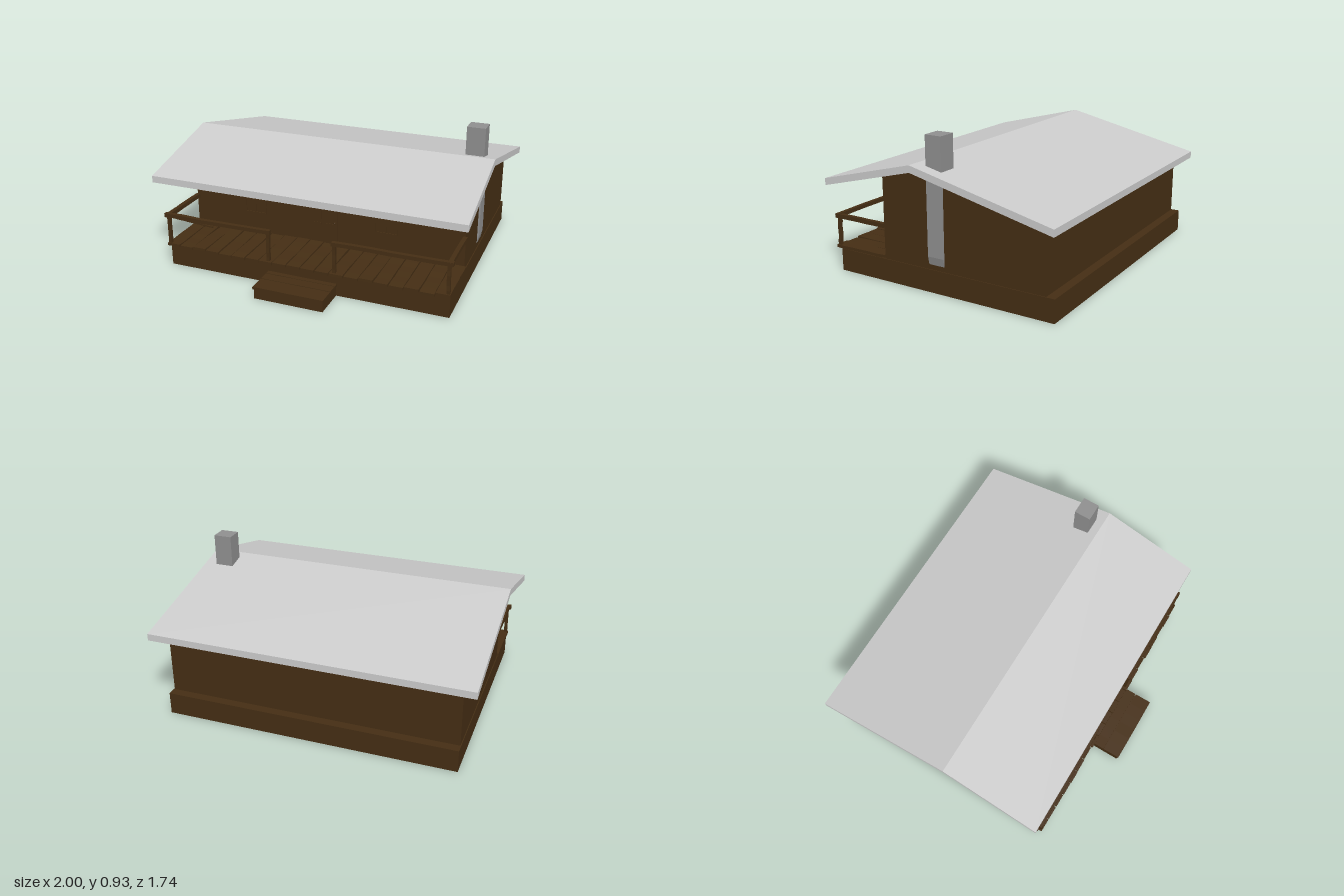
import * as THREE from 'three';

const wood = new THREE.MeshStandardMaterial({ color: 0x452e14, flatShading: true });
const stone = new THREE.MeshStandardMaterial({ color: 0x909090, flatShading: true });
const roofing = new THREE.MeshStandardMaterial({ color: 0xcccccc, flatShading: true });

// Small seeded generator, returns -1..1
let seed = 7;
const rnd = () => {
  seed = (seed * 16807) % 2147483647;
  return (seed / 2147483647) * 2 - 1;
};

function add(parent, name, geometry, material = wood) {
  const mesh = new THREE.Mesh(geometry, material);
  mesh.name = name;
  parent.add(mesh);
  return mesh;
}

// Box given by its limits on each axis
function box(parent, name, [x0, x1], [y0, y1], [z0, z1], material = wood) {
  const mesh = add(parent, name, new THREE.BoxGeometry(x1 - x0, y1 - y0, z1 - z0), material);
  mesh.position.set((x0 + x1) / 2, (y0 + y1) / 2, (z0 + z1) / 2);
  return mesh;
}

// Side profile of [z, y] points extruded along x, centred
function extrudeX(points, width) {
  const shape = new THREE.Shape(points.map(([z, y]) => new THREE.Vector2(-z, y)));
  return new THREE.ExtrudeGeometry(shape, { depth: width, bevelEnabled: false })
    .translate(0, 0, -width / 2).rotateY(Math.PI / 2);
}

// Worn timber along x: a box whose cross-sections wander a little
function timber(length, height, depth, wear) {
  const g = new THREE.BoxGeometry(length, height, depth, 6, 1, 1);
  const p = g.attributes.position;
  const shifts = Array.from({ length: 7 }, () => [rnd() * wear, rnd() * wear]);
  for (let i = 0; i < p.count; i++) {
    const [dy, dz] = shifts[Math.round((p.getX(i) / length + 0.5) * 6)];
    p.setY(i, p.getY(i) + dy);
    p.setZ(i, p.getZ(i) + dz);
  }
  g.computeVertexNormals();
  return g;
}

// Window centred on its origin, facing +z
function makeWindow(name) {
  const w = new THREE.Group();
  w.name = name;
  const W = 0.075, H = 0.092, bar = 0.008;
  box(w, 'pane', [-W, W], [-H, H], [-0.004, 0.001]);
  for (const s of [-1, 1]) {
    box(w, 'frameSide', [s * (W - bar / 2) - bar / 2, s * (W - bar / 2) + bar / 2], [-H, H], [0, 0.006]);
    box(w, 'frameEdge', [-W, W], [s * (H - bar / 2) - bar / 2, s * (H - bar / 2) + bar / 2], [0, 0.006]);
  }
  box(w, 'mullion', [-0.004, 0.004], [-H, H], [0, 0.005]);
  box(w, 'crossbar', [-W, W], [-0.004, 0.004], [0, 0.005]);
  return w;
}

export function createModel() {
  const cabin = new THREE.Group();
  cabin.name = 'cabin';

  // Foundation and gabled walls
  box(cabin, 'foundation', [-0.915, 0.915], [0, 0.14], [-0.835, 0.65]);
  add(cabin, 'walls', extrudeX(
    [[0.31, 0.13], [0.31, 0.655], [0.04, 0.724], [-0.78, 0.534], [-0.78, 0.13]], 1.82));

  // Bent roof slab
  add(cabin, 'roof', extrudeX([
    [0.675, 0.56], [0.675, 0.603], [0.04, 0.765], [-0.87, 0.555], [-0.87, 0.512], [0.04, 0.722],
  ], 2), roofing);

  // Chimney with a slanted foot against the side wall
  const stack = new THREE.Shape([
    [0.805, 0.17], [0.91, 0.17], [0.921, 0.22], [0.921, 0.93], [0.805, 0.93],
  ].map(([x, y]) => new THREE.Vector2(x, y)));
  add(cabin, 'chimney', new THREE.ExtrudeGeometry(stack, { depth: 0.107, bevelEnabled: false })
    .translate(0, 0, -0.122), stone);

  // Door: leaf, raised panels, knob
  const door = new THREE.Group();
  door.name = 'door';
  cabin.add(door);
  box(door, 'leaf', [-0.095, 0.092], [0.155, 0.475], [0.3, 0.314]);
  for (const x of [-0.045, 0.042])
    for (const [y0, y1] of [[0.19, 0.3], [0.325, 0.445]])
      box(door, 'panel', [x - 0.03, x + 0.03], [y0, y1], [0.31, 0.317]);
  add(door, 'knob', new THREE.SphereGeometry(0.007, 8, 6)).position.set(0.078, 0.31, 0.32);

  // Windows: two at the front, one in the side wall
  for (const x of [-0.475, 0.415]) {
    const w = makeWindow('frontWindow');
    w.position.set(x, 0.383, 0.31);
    cabin.add(w);
  }
  const sideWindow = makeWindow('sideWindow');
  sideWindow.rotation.y = -Math.PI / 2;
  sideWindow.position.set(-0.91, 0.375, -0.235);
  cabin.add(sideWindow);

  // Porch floor of worn boards
  const deck = new THREE.Group();
  deck.name = 'deck';
  cabin.add(deck);
  const count = 20, pitch = 1.85 / count;
  for (let i = 0; i < count; i++) {
    const end = 0.685 + rnd() * 0.005;
    const board = add(deck, 'deckBoard', timber(end - 0.31, 0.018, pitch - 0.007, 0.0015));
    board.rotation.set(rnd() * 0.03, Math.PI / 2, 0);
    board.position.set(-0.925 + pitch * (i + 0.5), 0.152 + rnd() * 0.003, (end + 0.31) / 2);
  }

  // Railings, mirrored about the steps
  for (const s of [-1, 1]) {
    const railing = new THREE.Group();
    railing.name = s > 0 ? 'leftRailing' : 'rightRailing';
    cabin.add(railing);
    add(railing, 'frontRail', timber(0.73, 0.024, 0.026, 0.003)).position.set(s * 0.565, 0.35, 0.667);
    const side = add(railing, 'sideRail', timber(0.37, 0.026, 0.026, 0.002));
    side.rotation.y = Math.PI / 2;
    side.position.set(s * 0.907, 0.347, 0.495);
    for (const x of [0.905, 0.215]) {
      const post = add(railing, 'post', timber(0.19, 0.02, 0.02, 0.0015));
      post.rotation.z = Math.PI / 2;
      post.position.set(s * x, 0.247, 0.665);
    }
  }
  // Splinter hanging from the cracked rail
  const splinter = add(cabin, 'splinter', timber(0.3, 0.009, 0.012, 0.002));
  splinter.rotation.z = -0.08;
  splinter.position.set(-0.74, 0.33, 0.667);

  // Front step with plank treads
  const step = new THREE.Group();
  step.name = 'step';
  cabin.add(step);
  box(step, 'stepBlock', [-0.22, 0.22], [0, 0.064], [0.64, 0.86]);
  [[0.65, 0.682], [0.687, 0.752], [0.758, 0.868]].forEach(([z0, z1]) => {
    add(step, 'tread', timber(0.452, 0.016, z1 - z0, 0.001)).position.set(0, 0.072, (z0 + z1) / 2);
  });
  return cabin;
}
